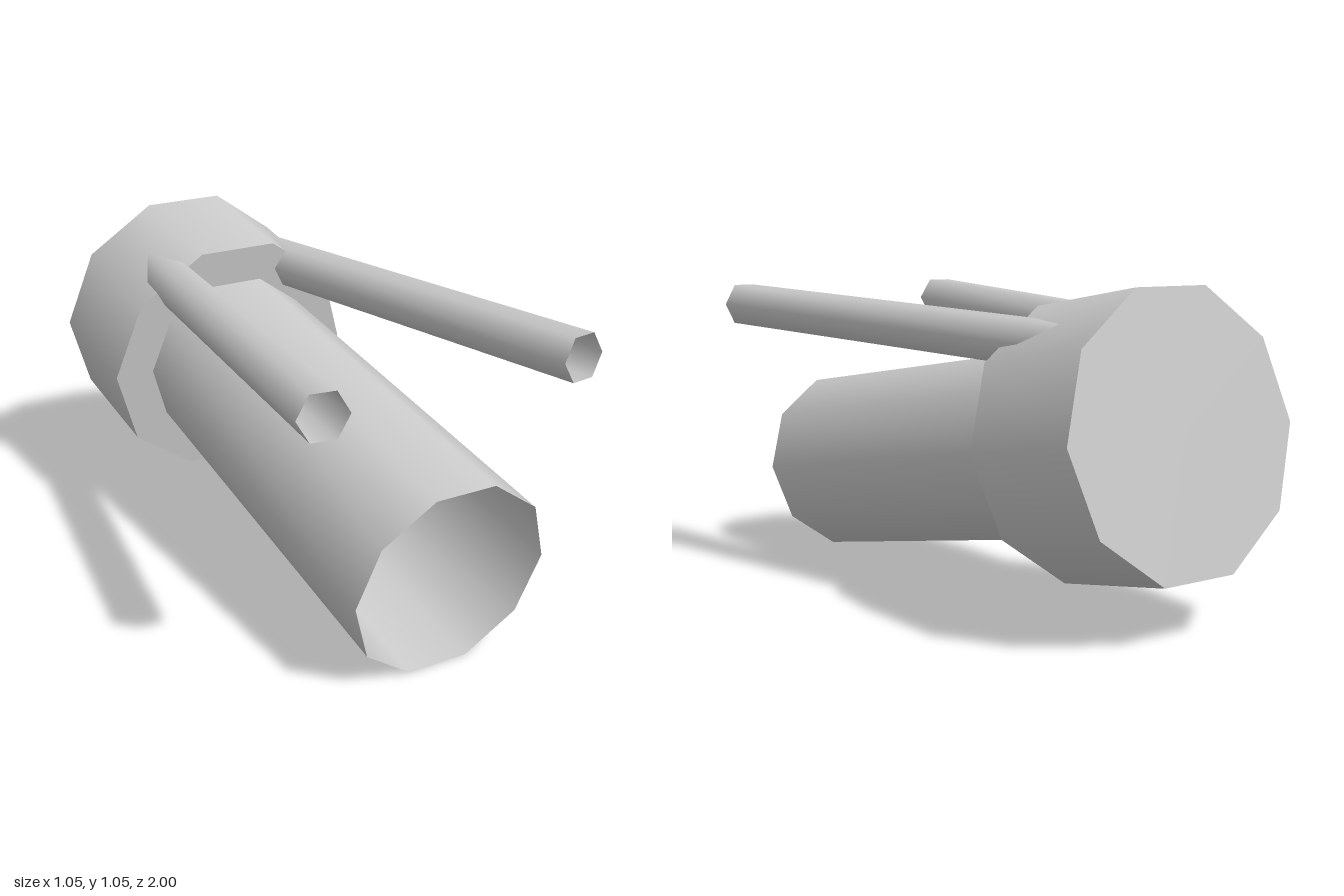
import * as THREE from 'three';

const grey = new THREE.MeshStandardMaterial({ color: 0xcccccc, side: THREE.DoubleSide });
grey.name = 'grey';

// Straight prism from a back centre to a front centre, with a flat side facing down
function prism(name, back, front, backRadius, frontRadius, sides, open) {
  const a = new THREE.Vector3(...back);
  const b = new THREE.Vector3(...front);
  const geometry = new THREE.CylinderGeometry(
    frontRadius, backRadius, a.distanceTo(b), sides, 1, open, Math.PI / sides);
  geometry.rotateX(Math.PI / 2);
  const mesh = new THREE.Mesh(geometry, grey);
  mesh.name = name;
  mesh.position.copy(a).add(b).multiplyScalar(0.5);
  mesh.lookAt(b);
  return mesh;
}

export function createModel() {
  const group = new THREE.Group();
  group.name = 'tiltedBarrel';

  // Wide closed drum at the back
  group.add(prism('rearDrum', [0, 0.625, -0.925], [0, 0.553, -0.48], 0.457, 0.457, 10, false));

  // Open barrel, slightly wider at the mouth
  group.add(prism('barrel', [0, 0.556, -0.5], [0, 0.315, 0.95], 0.316, 0.336, 10, true));

  // Two thin open tubes spreading forward from the drum
  for (const s of [1, -1]) {
    group.add(prism(s > 0 ? 'leftTube' : 'rightTube',
      [s * 0.19, 0.866, -0.75], [s * 0.445, 0.943, 0.945], 0.081, 0.081, 6, true));
  }
  return group;
}
